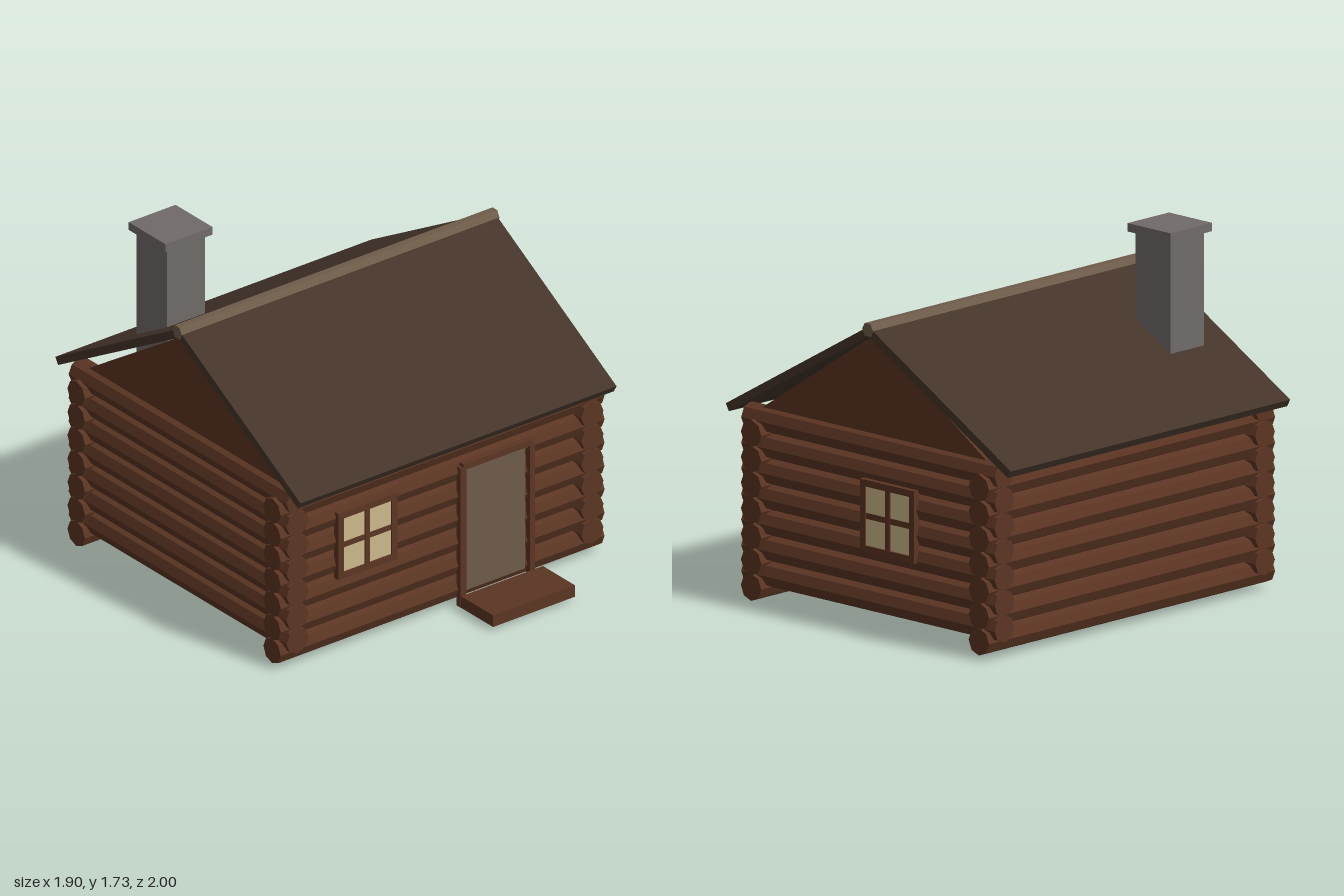
import * as THREE from 'three';

const material = (name, color) => {
  const m = new THREE.MeshStandardMaterial({ color, flatShading: true });
  m.name = name;
  return m;
};

export function createModel() {
  const cabin = new THREE.Group();
  cabin.name = 'logCabin';
  const logWood = material('logWood', 0x5c3523);
  const roofing = material('roofing', 0x44342a);
  const paleWood = material('paleWood', 0x6e5c4a);
  const glass = material('glass', 0xcdb88a);
  const stone = material('stone', 0x706b69);

  const group = (name, parent = cabin) => {
    const g = new THREE.Group();
    g.name = name;
    parent.add(g);
    return g;
  };
  const add = (name, geometry, mat, parent, x = 0, y = 0, z = 0) => {
    const m = new THREE.Mesh(geometry, mat);
    m.name = name;
    m.position.set(x, y, z);
    parent.add(m);
    return m;
  };
  // Box given by its lower and upper limits
  const box = (name, mat, parent, x0, x1, y0, y1, z0, z1) =>
    add(name, new THREE.BoxGeometry(x1 - x0, y1 - y0, z1 - z0), mat, parent,
      (x0 + x1) / 2, (y0 + y1) / 2, (z0 + z1) / 2);

  // Walls: seven courses of eight-sided logs, the side walls half a log higher
  const ridgeZ = -0.083, halfDepth = 0.73, wallX = 0.865, r = 0.065, pitch = 0.122;
  const walls = group('walls');
  const longLog = new THREE.CylinderGeometry(r, r, 1.9, 8).rotateZ(Math.PI / 2);
  const sideLog = new THREE.CylinderGeometry(r, r, 1.625, 8).rotateX(Math.PI / 2);
  for (let i = 0; i < 7; i++) {
    add('frontLog', longLog, logWood, walls, 0, 0.085 + i * pitch, ridgeZ + halfDepth);
    add('backLog', longLog, logWood, walls, 0, 0.085 + i * pitch, ridgeZ - halfDepth);
    for (const s of [-1, 1])
      add('sideLog', sideLog, logWood, walls, s * wallX, 0.145 + i * pitch, ridgeZ);
  }

  // Gables: triangular boards on the side walls
  const triangle = new THREE.Shape();
  triangle.moveTo(-halfDepth, 0.925);
  triangle.lineTo(halfDepth, 0.925);
  triangle.lineTo(0, 1.405);
  const gable = new THREE.ExtrudeGeometry(triangle, { depth: 0.04, bevelEnabled: false })
    .translate(0, 0, -0.02).rotateY(Math.PI / 2);
  for (const s of [-1, 1]) add('gable', gable, logWood, cabin, s * wallX, 0, ridgeZ);

  // Roof: two sloping slabs meeting under a six-sided ridge pole
  const roof = group('roof');
  const slope = Math.PI / 6, slopeLength = 1.055, thickness = 0.04;
  for (const s of [-1, 1]) {
    const slab = add('roofSlope',
      new THREE.BoxGeometry(1.855, thickness, slopeLength).translate(0, -thickness / 2, s * slopeLength / 2),
      roofing, roof, 0, 1.452, ridgeZ);
    slab.rotation.x = s * slope;
  }
  add('ridgePole', new THREE.CylinderGeometry(0.035, 0.035, 1.865, 6).rotateZ(Math.PI / 2),
    paleWood, roof, 0, 1.437, ridgeZ);

  // Chimney
  const chimney = group('chimney');
  box('chimneyStack', stone, chimney, -0.753, -0.53, 0.02, 1.69, -0.612, -0.388);
  box('chimneyCap', stone, chimney, -0.78, -0.505, 1.69, 1.73, -0.638, -0.362);

  // Door with frame and step
  const door = group('door');
  box('doorPanel', paleWood, door, 0.135, 0.478, 0.075, 0.715, 0.695, 0.72);
  for (const x of [0.092, 0.498])
    box('doorPost', logWood, door, x, x + 0.03, 0, 0.727, 0.7, 0.73);
  box('doorHeader', logWood, door, 0.108, 0.512, 0.713, 0.744, 0.7, 0.732);
  box('step', logWood, cabin, 0.07, 0.55, 0.02, 0.08, 0.76, 1);

  // Windows: pane, square frame and crossbars, facing local +z
  const makeWindow = (name, x, z, turn) => {
    const w = group(name);
    w.position.set(x, 0.553, z);
    w.rotation.y = turn;
    box('pane', glass, w, -0.145, 0.145, -0.145, 0.145, -0.012, -0.003);
    for (const s of [-1, 1]) {
      const a = s * 0.157;
      box('frameRail', logWood, w, -0.173, 0.173, a - 0.016, a + 0.016, -0.03, 0.006);
      box('frameStile', logWood, w, a - 0.016, a + 0.016, -0.141, 0.141, -0.03, 0.006);
    }
    box('crossbar', logWood, w, -0.141, 0.141, -0.014, 0.014, -0.005, 0);
    box('mullion', logWood, w, -0.014, 0.014, -0.141, 0.141, -0.005, 0.003);
  };
  makeWindow('frontWindow', -0.452, 0.725, 0);
  makeWindow('sideWindow', 0.94, -0.22, Math.PI / 2);

  return cabin;
}
